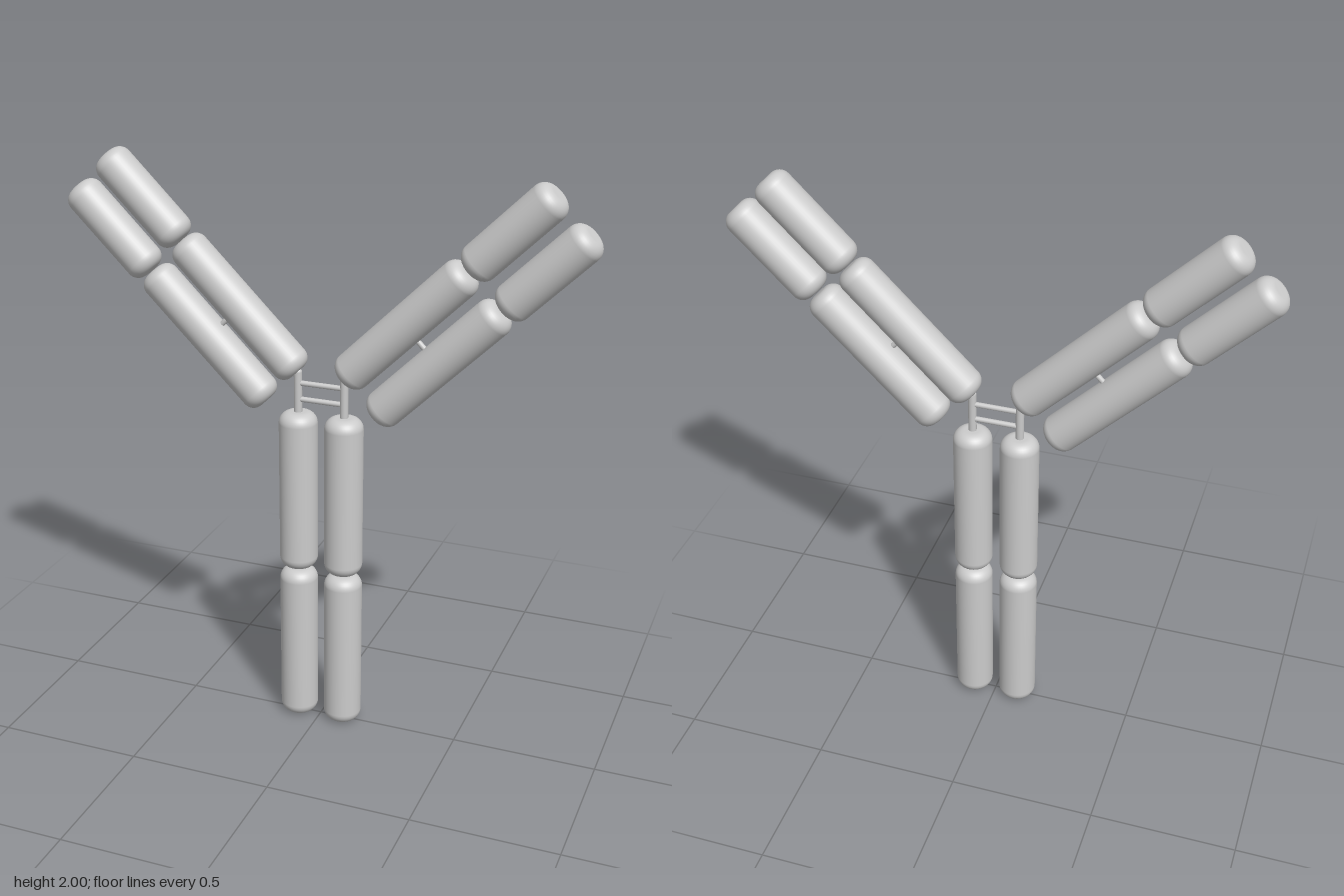
import * as THREE from 'three';

const material = new THREE.MeshStandardMaterial({ color: 0xcccccc });
const R = 0.066;      // capsule radius
const EDGE = 0.04;    // rounding of the capsule ends
const LONG = 0.575, SHORT = 0.37;

// Cylinder with rounded rims, centred on the origin along y
function roundedCylinder(length) {
  const pts = [new THREE.Vector2(0, -length / 2)];
  for (const side of [-1, 1]) {
    for (let i = 0; i <= 8; i++) {
      const a = (side < 0 ? -1 + i / 8 : i / 8) * Math.PI / 2;
      pts.push(new THREE.Vector2(
        R - EDGE + EDGE * Math.cos(a),
        side * (length / 2 - EDGE) + EDGE * Math.sin(a)));
    }
  }
  pts.push(new THREE.Vector2(0, length / 2));
  return new THREE.LatheGeometry(pts, 40);
}

function addPart(parent, name, geometry, x, y, tilt = 0) {
  const mesh = new THREE.Mesh(geometry, material);
  mesh.name = name;
  mesh.position.set(x, y, 0);
  mesh.rotation.z = tilt;
  parent.add(mesh);
}

export function createModel() {
  const model = new THREE.Group();
  model.name = 'antibody';
  const longGeo = roundedCylinder(LONG);
  const shortGeo = roundedCylinder(SHORT);
  const hingeGeo = new THREE.CapsuleGeometry(0.014, 0.18, 6, 16);
  const armLinkGeo = new THREE.CylinderGeometry(0.009, 0.009, 0.1, 16);
  const bridgeGeo = new THREE.CylinderGeometry(0.009, 0.009, 0.164, 16);

  for (const s of [1, -1]) {
    const half = new THREE.Group();
    half.name = s > 0 ? 'leftHalf' : 'rightHalf';
    const tilt = -s * THREE.MathUtils.degToRad(45.2);

    // Stem and hinge
    addPart(half, 'lowerStem', longGeo, s * 0.082, 0.2915);
    addPart(half, 'upperStem', longGeo, s * 0.082, 0.873);
    addPart(half, 'hingeRod', hingeGeo, s * 0.082, 1.21);

    // Heavy and light chains of the arm
    addPart(half, 'innerArm', longGeo, s * 0.287, 1.503, tilt);
    addPart(half, 'innerTip', shortGeo, s * 0.627, 1.84, tilt);
    addPart(half, 'outerArm', longGeo, s * 0.398, 1.388, tilt);
    addPart(half, 'outerTip', shortGeo, s * 0.74, 1.725, tilt);
    addPart(half, 'armLink', armLinkGeo, s * 0.3425, 1.446, tilt + Math.PI / 2);
    model.add(half);
  }

  // Bridges between the two hinge rods
  for (const y of [1.205, 1.262]) addPart(model, 'hingeBridge', bridgeGeo, 0, y, Math.PI / 2);

  return model;
}
